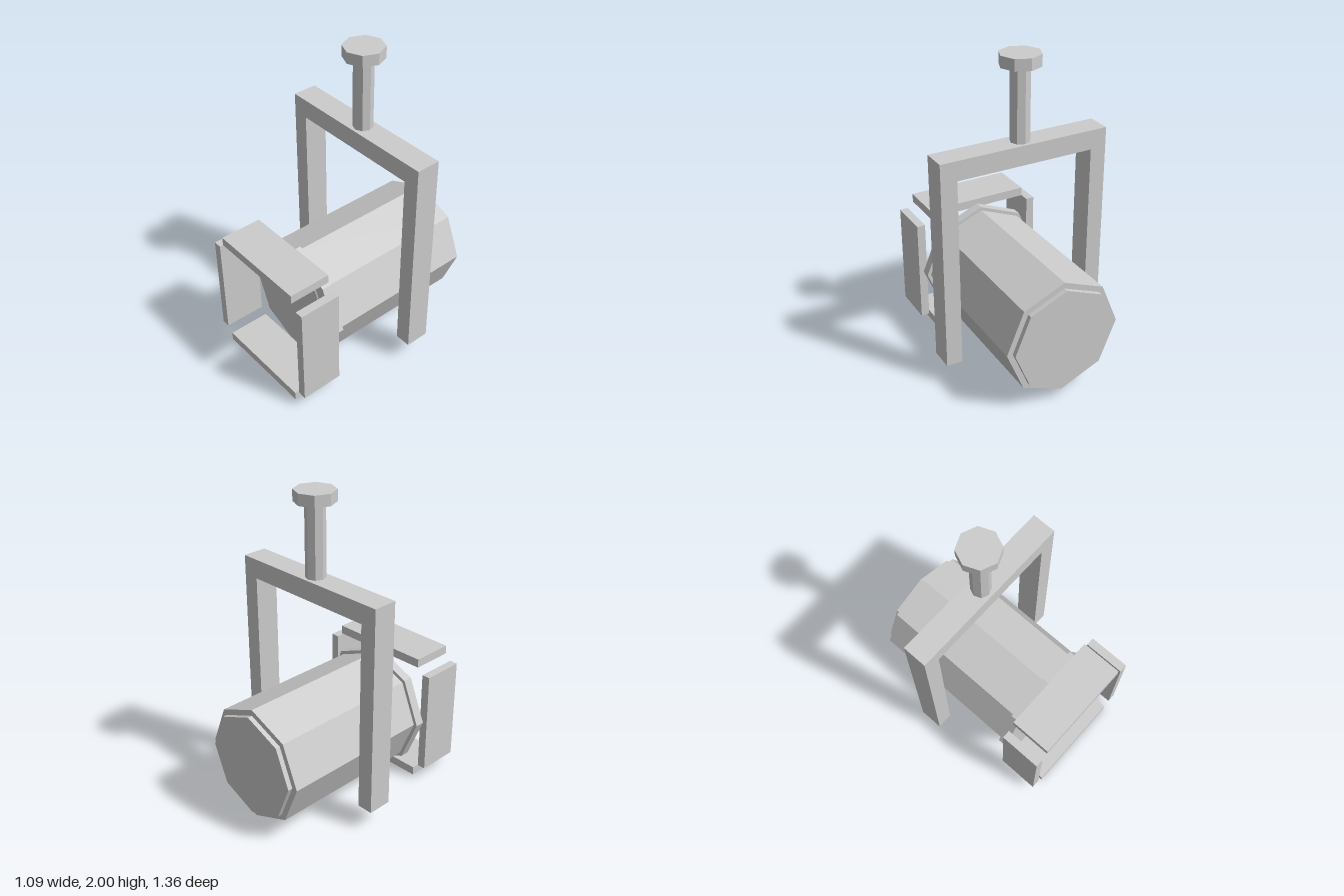
import * as THREE from 'three';

export function createModel() {
  const group = new THREE.Group();
  const grey = new THREE.MeshStandardMaterial({ color: 0xcccccc, flatShading: true });
  grey.name = 'light grey metal';
  const axisY = 0.432, yokeZ = -0.138;

  function add(name, geometry, x, y, z) {
    const mesh = new THREE.Mesh(geometry, grey);
    mesh.name = name;
    mesh.position.set(x, y, z);
    group.add(mesh);
  }
  const box = (name, w, h, d, x, y, z) => add(name, new THREE.BoxGeometry(w, h, d), x, y, z);

  // Eight-sided drum lying along z, from z0 (back) to z1 (front)
  function drum(name, rFront, rBack, z0, z1) {
    const g = new THREE.CylinderGeometry(rFront, rBack, z1 - z0, 8).rotateX(Math.PI / 2);
    add(name, g, 0, axisY, (z0 + z1) / 2);
  }

  // Lamp housing
  drum('housing', 0.373, 0.373, -0.65, 0.35);
  drum('backCap', 0.335, 0.335, -0.68, -0.65);
  drum('frontRing', 0.397, 0.397, 0.35, 0.41);
  drum('lens', 0.308, 0.316, 0.41, 0.416);

  // Barn doors around the lens
  for (const s of [-1, 1]) {
    box(s > 0 ? 'topDoor' : 'bottomDoor', 0.668, 0.056, 0.27, 0, axisY + s * 0.402, 0.545);
    box(s > 0 ? 'leftDoor' : 'rightDoor', 0.054, 0.672, 0.27, s * 0.4, axisY, 0.545);
  }

  // Yoke
  box('yokeBar', 1.086, 0.122, 0.155, 0, 1.418, yokeZ);
  for (const s of [-1, 1]) {
    box(s > 0 ? 'leftYokeArm' : 'rightYokeArm', 0.103, 1.218, 0.155, s * 0.4915, 0.748, yokeZ);
  }

  // Mounting stem and knob
  add('stem', new THREE.CylinderGeometry(0.061, 0.061, 0.452, 8), 0, 1.704, yokeZ);
  add('knob', new THREE.CylinderGeometry(0.125, 0.125, 0.07, 8), 0, 1.965, yokeZ);

  return group;
}
